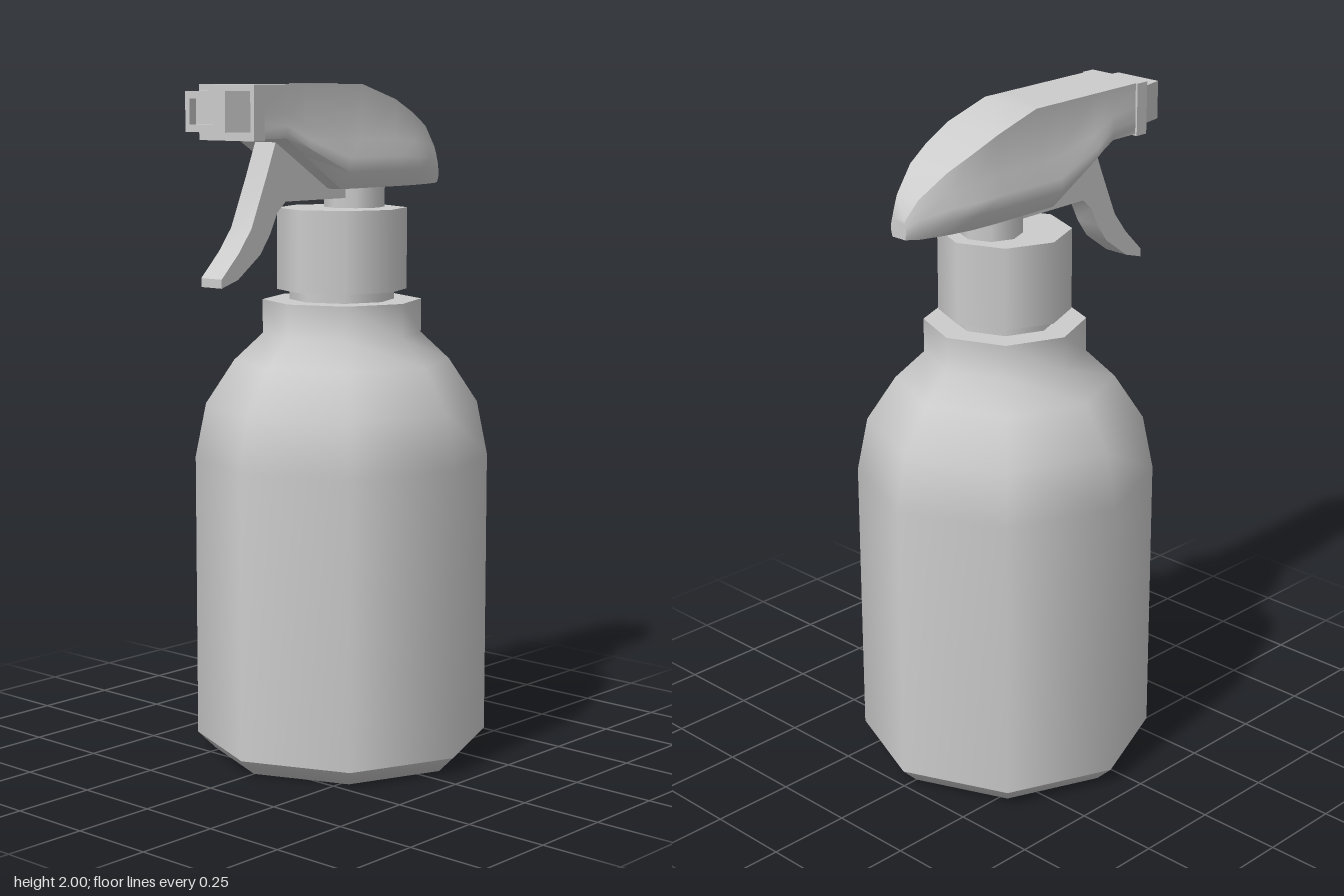
import * as THREE from 'three';
import { toCreasedNormals } from 'three/addons/utils/BufferGeometryUtils.js';

const AXIS_Z = -0.065; // the bottle sits behind the middle, the nozzle reaches forward

export function createModel() {
  const model = new THREE.Group();
  const grey = new THREE.MeshStandardMaterial({ color: 0xcccccc });
  const open = new THREE.MeshStandardMaterial({ color: 0xcccccc, side: THREE.DoubleSide });

  const add = (name, geometry, material = grey) => {
    const mesh = new THREE.Mesh(geometry, material);
    mesh.name = name;
    model.add(mesh);
    return mesh;
  };

  // Eight-sided turned part, profile from bottom to top as [radius, y]
  const turned = (name, profile, z = AXIS_Z) => {
    const points = profile.map(([r, y]) => new THREE.Vector2(r, y));
    return add(name, new THREE.LatheGeometry(points, 8), open).position.z = z;
  };

  // Bottle: separate profiles keep the rims sharp and the walls smooth
  turned('bottleBase', [[0, 0], [0.385, 0], [0.437, 0.05]]);
  turned('bottleBody', [[0.437, 0.05], [0.437, 0.9], [0.405, 1.06], [0.32, 1.19], [0.235, 1.27], [0.235, 1.37]]);
  turned('bottleRim', [[0.235, 1.37], [0.1, 1.37]]);
  turned('bottleNeck', [[0.155, 1.37], [0.155, 1.4]]);

  // Screw cap and stem
  turned('capUnderside', [[0.12, 1.4], [0.192, 1.4]]);
  turned('capWall', [[0.192, 1.4], [0.192, 1.64]]);
  turned('capTop', [[0.192, 1.64], [0, 1.64]]);
  turned('stem', [[0.09, 1.63], [0.09, 1.74]], -0.12);

  add('sprayHead', headGeometry());

  // Collar behind the nozzle
  const collar = add('nozzleCollar', new THREE.BoxGeometry(0.214, 0.155, 0.042));
  collar.position.set(0, 1.9225, 0.396);

  // Tapered nozzle with a rectangular recess
  const rect = (Kind, w, h) => {
    const p = new Kind();
    p.moveTo(-w, -h).lineTo(w, -h).lineTo(w, h).lineTo(-w, h).closePath();
    return p;
  };
  const outline = rect(THREE.Shape, 0.093, 0.056);
  outline.holes.push(rect(THREE.Path, 0.073, 0.036));
  const nozzle = new THREE.ExtrudeGeometry(outline, { depth: 0.085, bevelEnabled: false });
  const pos = nozzle.attributes.position;
  for (let i = 0; i < pos.count; i++) {
    if (pos.getZ(i) > 0.04) pos.setX(i, pos.getX(i) * 0.83);
  }
  nozzle.computeVertexNormals();
  add('nozzle', nozzle).position.set(0, 1.926, 0.415);
  const insert = add('nozzleInsert', new THREE.BoxGeometry(0.15, 0.08, 0.055));
  insert.position.set(0, 1.926, 0.4425);

  // Trigger: side outline as [z, y], extruded across x
  const side = [
    [0.26, 1.84], [0.30, 1.74], [0.36, 1.6], [0.41, 1.535], [0.48, 1.465], [0.48, 1.44],
    [0.415, 1.46], [0.325, 1.525], [0.285, 1.58], [0.255, 1.64], [0.22, 1.67],
    [-0.035, 1.67], [-0.035, 1.72], [0.04, 1.72], [0.2, 1.82],
  ];
  const lever = new THREE.ExtrudeGeometry(
    new THREE.Shape(side.map(([z, y]) => new THREE.Vector2(-z, y))),
    { depth: 0.08, bevelEnabled: false },
  );
  lever.rotateY(Math.PI / 2).translate(-0.04, 0, 0);
  add('trigger', toCreasedNormals(lever, 0.6));

  return model;
}

// Head: cross-sections from front to back, each a flat top, waist, bulge and flat bottom
function headGeometry() {
  // z, then [half width, y] for top, waist, bulge, lower bulge, bottom
  const sections = [
    [0.40, [0.1, 2], [0.1, 1.93], [0.1, 1.89], [0.1, 1.87], [0.1, 1.85]],
    [0.28, [0.1, 2], [0.1, 1.92], [0.105, 1.885], [0.105, 1.865], [0.1, 1.85]],
    [0.20, [0.1, 2], [0.1, 1.88], [0.117, 1.845], [0.117, 1.82], [0.095, 1.8]],
    [0.04, [0.1, 2], [0.1, 1.84], [0.125, 1.79], [0.122, 1.75], [0.09, 1.7]],
    [-0.04, [0.1, 2], [0.1, 1.84], [0.125, 1.79], [0.122, 1.75], [0.09, 1.7]],
    [-0.19, [0.1, 1.955], [0.101, 1.84], [0.124, 1.79], [0.122, 1.75], [0.09, 1.7]],
    [-0.28, [0.09, 1.915], [0.096, 1.83], [0.117, 1.785], [0.116, 1.75], [0.085, 1.7]],
    [-0.36, [0.072, 1.875], [0.082, 1.82], [0.095, 1.78], [0.094, 1.745], [0.07, 1.7]],
    [-0.44, [0.042, 1.81], [0.05, 1.785], [0.056, 1.76], [0.056, 1.735], [0.045, 1.7]],
    [-0.475, [0.025, 1.755], [0.028, 1.745], [0.03, 1.735], [0.03, 1.72], [0.025, 1.702]],
  ];
  const n = 10;
  const vertices = [];
  const index = [];
  for (const [z, ...half] of sections) {
    for (const [x, y] of half) vertices.push(x, y, z);
    for (const [x, y] of [...half].reverse()) vertices.push(-x, y, z);
  }
  for (let i = 0; i < sections.length - 1; i++) {
    for (let j = 0; j < n; j++) {
      const a = i * n + j;
      const b = i * n + (j + 1) % n;
      index.push(a, b, a + n, b, b + n, a + n);
    }
  }
  const last = (sections.length - 1) * n;
  for (let j = 1; j < n - 1; j++) {
    index.push(0, j + 1, j, last, last + j, last + j + 1);
  }
  const geometry = new THREE.BufferGeometry();
  geometry.setAttribute('position', new THREE.Float32BufferAttribute(vertices, 3));
  geometry.setIndex(index);
  return toCreasedNormals(geometry, 0.75);
}
